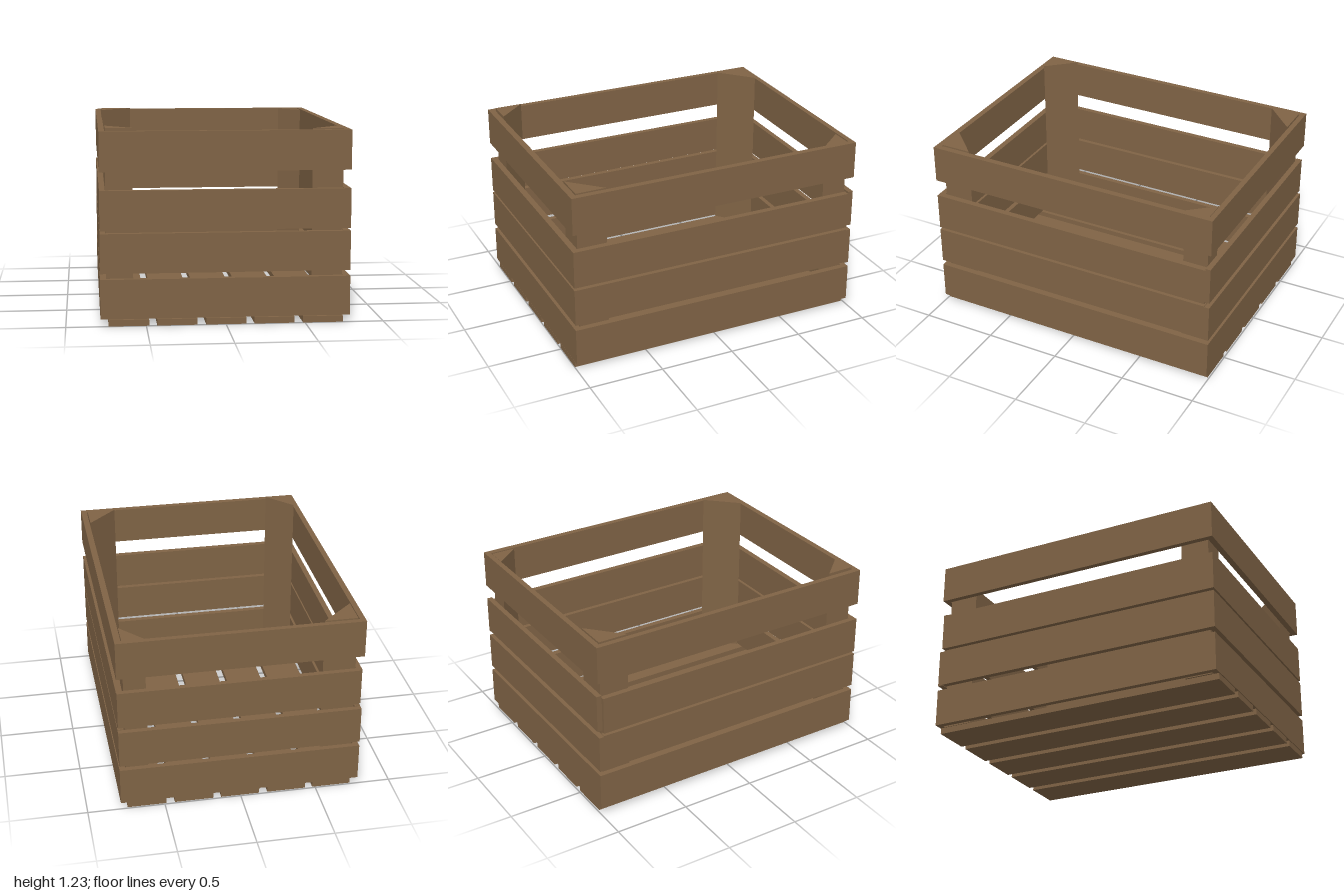
import * as THREE from 'three';

export function createModel() {
  const crate = new THREE.Group();
  crate.name = 'woodenCrate';
  const wood = new THREE.MeshStandardMaterial({ color: 0x7f6345 });
  wood.name = 'brown wood';

  // Plank given by its extents on each axis
  function plank(name, [x0, x1], [y0, y1], [z0, z1]) {
    const mesh = new THREE.Mesh(new THREE.BoxGeometry(x1 - x0, y1 - y0, z1 - z0), wood);
    mesh.position.set((x0 + x1) / 2, (y0 + y1) / 2, (z0 + z1) / 2);
    mesh.name = name;
    crate.add(mesh);
  }

  // Floor slats running front to back
  [-0.735, -0.432, -0.125, 0.18, 0.488].forEach((x, i) =>
    plank(`floorSlat${i + 1}`, [x, x + 0.253], [0, 0.04], [-0.99, 0.998]));

  // Four rows of wall boards; the back ones are nailed slightly out of line
  const rows = [0.045, 0.332, 0.6, 0.966];
  const backRows = [0.045, 0.327, 0.614, 0.966];
  rows.forEach((y, i) => {
    const height = [y, y + 0.25];
    const shift = i === 2 ? 0.02 : 0;
    plank(`frontBoard${i + 1}`, [-0.785, 0.785], height, [0.96, 1]);
    plank(`backBoard${i + 1}`, [-0.785 + shift, 0.785], [backRows[i], backRows[i] + 0.25], [-1, -0.965]);
    plank(`leftBoard${i + 1}`, [0.745, 0.785], height, [-0.965, 0.96]);
    plank(`rightBoard${i + 1}`, [-0.785, -0.749], height, [-0.965, 0.96]);
  });

  // Triangular corner post: right angle at (x, z), legs dx and dz pointing inward
  function post(name, x, z, dx, dz, top) {
    const bottom = 0.04;
    const shape = new THREE.Shape([
      new THREE.Vector2(x, -z),
      new THREE.Vector2(x + dx, -z),
      new THREE.Vector2(x, -(z + dz)),
    ]);
    const geometry = new THREE.ExtrudeGeometry(shape, { depth: top - bottom, bevelEnabled: false });
    geometry.rotateX(-Math.PI / 2);
    const mesh = new THREE.Mesh(geometry, wood);
    mesh.position.y = bottom;
    mesh.name = name;
    crate.add(mesh);
  }
  post('frontLeftPost', 0.74, 0.956, -0.195, -0.2, 1.223);
  post('frontRightPost', -0.746, 0.956, 0.168, -0.184, 1.234);
  post('backLeftPost', 0.74, -0.96, -0.142, 0.166, 1.212);
  post('backRightPost', -0.74, -0.96, 0.213, 0.197, 1.223);

  return crate;
}
